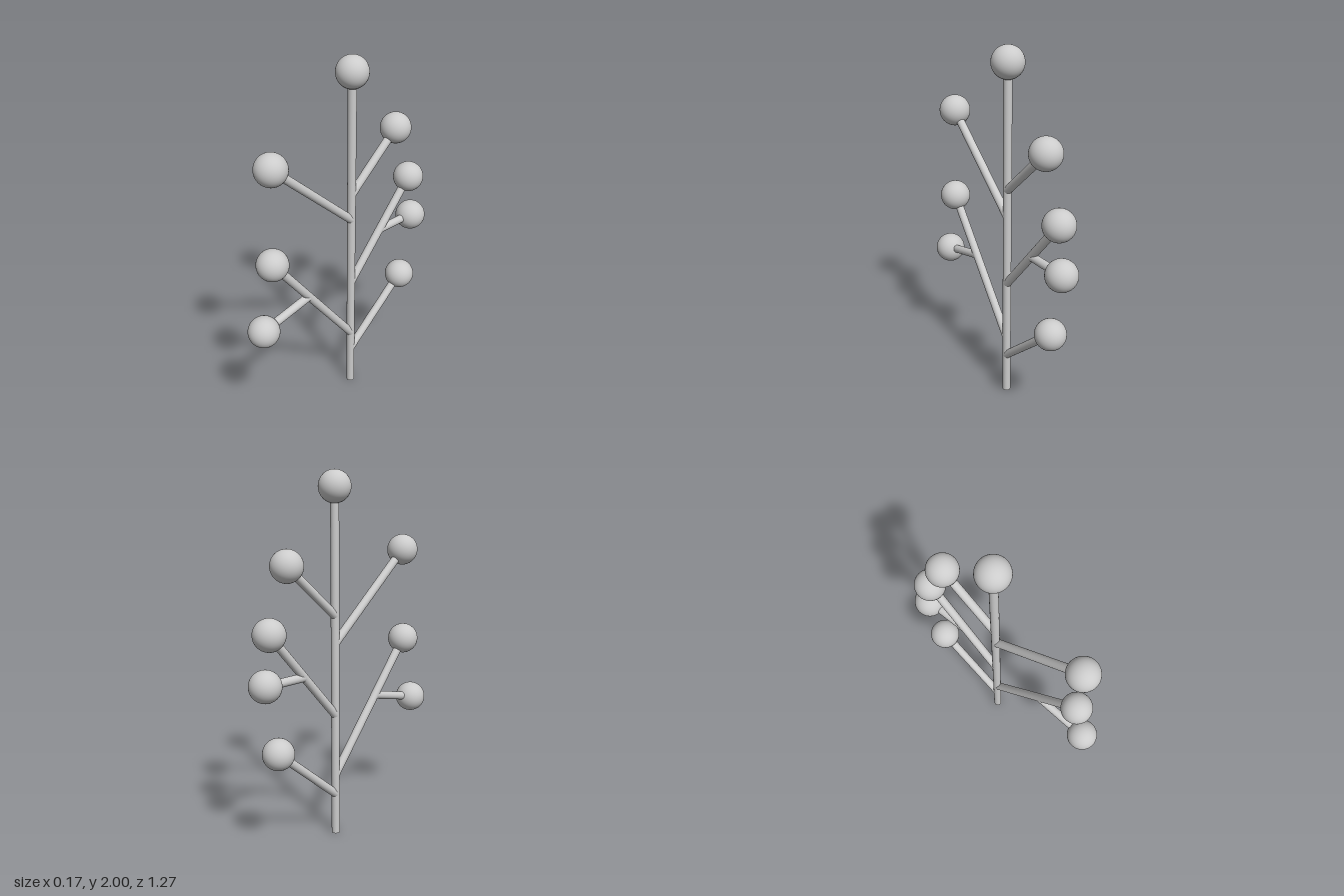
import * as THREE from 'three';

const STEM_RADIUS = 0.023;
const BALL_RADIUS = 0.085;

// Each stem runs in the x = 0 plane from [z, y] to the centre of its ball.
const STEMS = [
  ['trunk', [-0.07, 0], [-0.07, 1.915]],
  ['upperFrontBranch', [-0.07, 1.1], [0.458, 1.556]],
  ['upperBackBranch', [-0.07, 1.25], [-0.396, 1.542]],
  ['middleBackBranch', [-0.07, 0.7], [-0.516, 1.217]],
  ['middleBackTwig', [-0.297, 0.958], [-0.549, 0.962]],
  ['lowerBackBranch', [-0.07, 0.235], [-0.475, 0.585]],
  ['lowerFrontBranch', [-0.07, 0.35], [0.477, 1.041]],
  ['lowerFrontTwig', [0.246, 0.745], [0.555, 0.669]],
];

export function createModel() {
  const model = new THREE.Group();
  model.name = 'branchingTree';
  const material = new THREE.MeshStandardMaterial({ color: 0xcccccc });
  const ballGeometry = new THREE.SphereGeometry(BALL_RADIUS, 48, 32);
  const up = new THREE.Vector3(0, 1, 0);

  for (const [name, [z0, y0], [z1, y1]] of STEMS) {
    const start = new THREE.Vector3(0, y0, z0);
    const end = new THREE.Vector3(0, y1, z1);
    const direction = end.clone().sub(start);
    const length = direction.length();

    // Round stem, ending inside its ball
    const stem = new THREE.Mesh(
      new THREE.CylinderGeometry(STEM_RADIUS, STEM_RADIUS, length, 32),
      material,
    );
    stem.name = name;
    stem.position.copy(start).add(end).multiplyScalar(0.5);
    stem.quaternion.setFromUnitVectors(up, direction.normalize());

    // Ball at the tip
    const ball = new THREE.Mesh(ballGeometry, material);
    ball.name = name + 'Ball';
    ball.position.copy(end);

    model.add(stem, ball);
  }
  return model;
}
